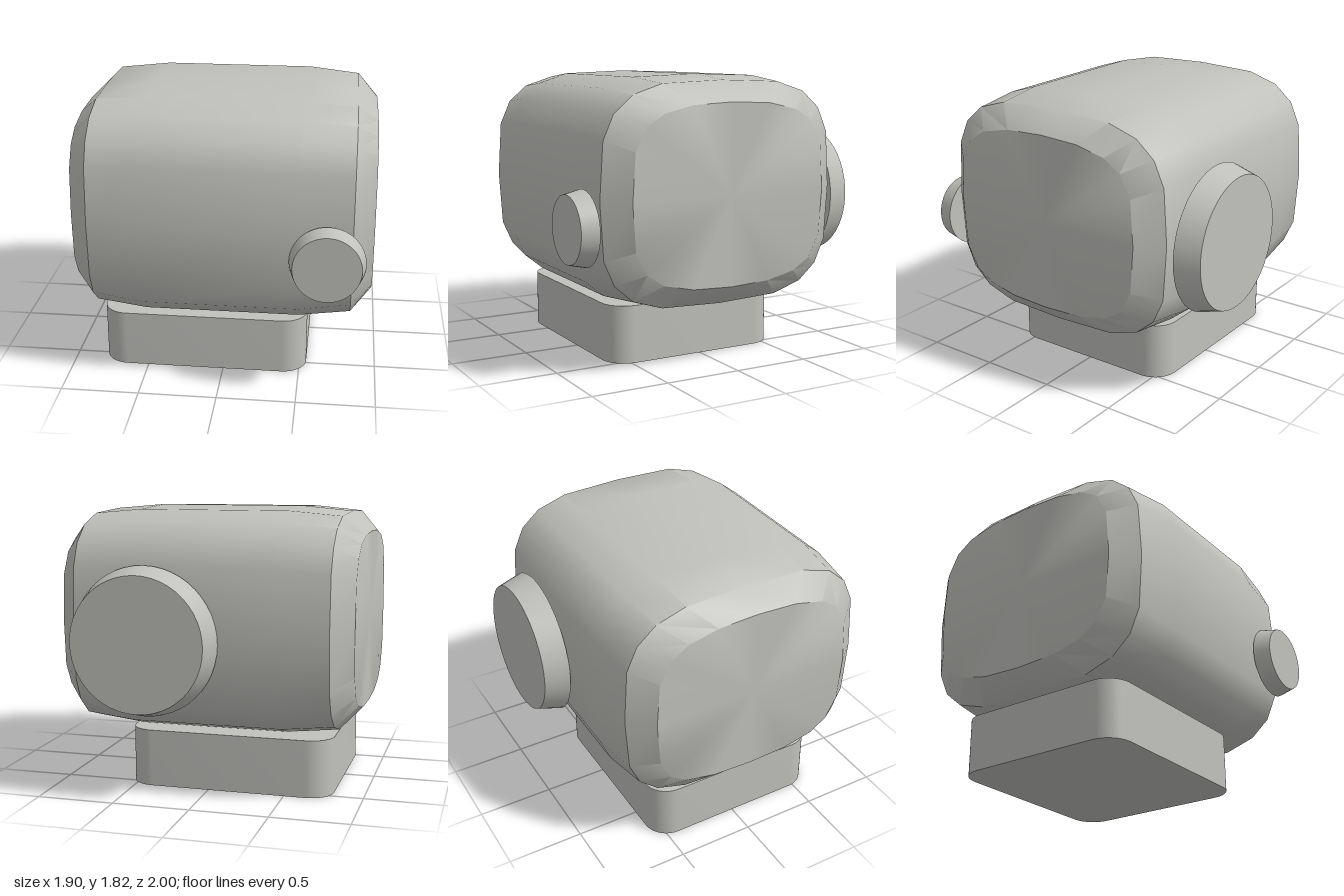
import * as THREE from 'three';
import { toCreasedNormals } from 'three/addons/utils/BufferGeometryUtils.js';

const CENTER_Y = 1.09, CENTER_Z = 0.025;

// Quarter cross-sections as [z, y], from top centre to side centre
const FULL = [[0, 0.725], [0.44, 0.71], [0.645, 0.645], [0.775, 0.54], [0.84, 0.38], [0.865, 0]];
const SHOULDER = [[0, 0.695], [0.41, 0.68], [0.61, 0.617], [0.735, 0.51], [0.805, 0.355], [0.828, 0]];
const END = [[0, 0.567], [0.27, 0.555], [0.47, 0.51], [0.585, 0.435], [0.66, 0.295], [0.68, 0]];

// Mirror a quarter into a closed ring: top, +z, bottom, -z
function ring(x, quarter) {
  const half = [...quarter, ...quarter.slice(0, -1).reverse().map(([z, y]) => [z, -y])];
  const other = half.slice(1, -1).reverse().map(([z, y]) => [-z, y]);
  return [...half, ...other].map(([z, y]) => [x, y + CENTER_Y, z + CENTER_Z]);
}

// Loft through the rings and close both ends with fans
function bodyGeometry() {
  const rings = [
    ring(-0.95, END), ring(-0.82, SHOULDER), ring(-0.49, FULL),
    ring(0.49, FULL), ring(0.82, SHOULDER), ring(0.95, END),
  ];
  const n = rings[0].length, last = rings.length - 1, pos = [];
  for (let i = 0; i < n; i++) {
    const j = (i + 1) % n;
    for (let k = 0; k < last; k++) {
      const a = rings[k], b = rings[k + 1];
      pos.push(...a[i], ...a[j], ...b[i], ...a[j], ...b[j], ...b[i]);
    }
    pos.push(-0.95, CENTER_Y, CENTER_Z, ...rings[0][j], ...rings[0][i]);
    pos.push(0.95, CENTER_Y, CENTER_Z, ...rings[last][i], ...rings[last][j]);
  }
  const g = new THREE.BufferGeometry();
  g.setAttribute('position', new THREE.Float32BufferAttribute(pos, 3));
  return toCreasedNormals(g, THREE.MathUtils.degToRad(40));
}

// Rounded rectangular block standing on the ground
function baseGeometry(w, d, h, r) {
  const x = w / 2, y = d / 2, s = new THREE.Shape();
  s.absarc(x - r, y - r, r, 0, Math.PI / 2);
  s.absarc(-x + r, y - r, r, Math.PI / 2, Math.PI);
  s.absarc(-x + r, -y + r, r, Math.PI, Math.PI * 1.5);
  s.absarc(x - r, -y + r, r, Math.PI * 1.5, Math.PI * 2);
  s.closePath();
  const g = new THREE.ExtrudeGeometry(s, { depth: h, bevelEnabled: false, curveSegments: 8 });
  g.rotateX(-Math.PI / 2);
  return toCreasedNormals(g, Math.PI / 6);
}

export function createModel() {
  const group = new THREE.Group();
  const grey = new THREE.MeshStandardMaterial({ color: 0xc0c0bc });
  grey.name = 'grey';

  const add = (name, geometry, x = 0, y = 0, z = 0) => {
    const mesh = new THREE.Mesh(geometry, grey);
    mesh.name = name;
    mesh.position.set(x, y, z);
    group.add(mesh);
  };

  add('body', bodyGeometry());
  add('base', baseGeometry(1.345, 1.215, 0.373, 0.16), -0.128, 0, 0.025);

  // Tapered discs, narrow end facing away from the body
  const disc = (outer, inner, depth, dir) =>
    new THREE.CylinderGeometry(outer, inner, depth, 48).rotateX(dir * Math.PI / 2);
  add('frontKnob', disc(0.21, 0.235, 0.11, 1), 0.67, 0.918, 0.945);
  add('backDisc', disc(0.428, 0.474, 0.16, -1), 0.335, 1.003, -0.92);

  return group;
}
